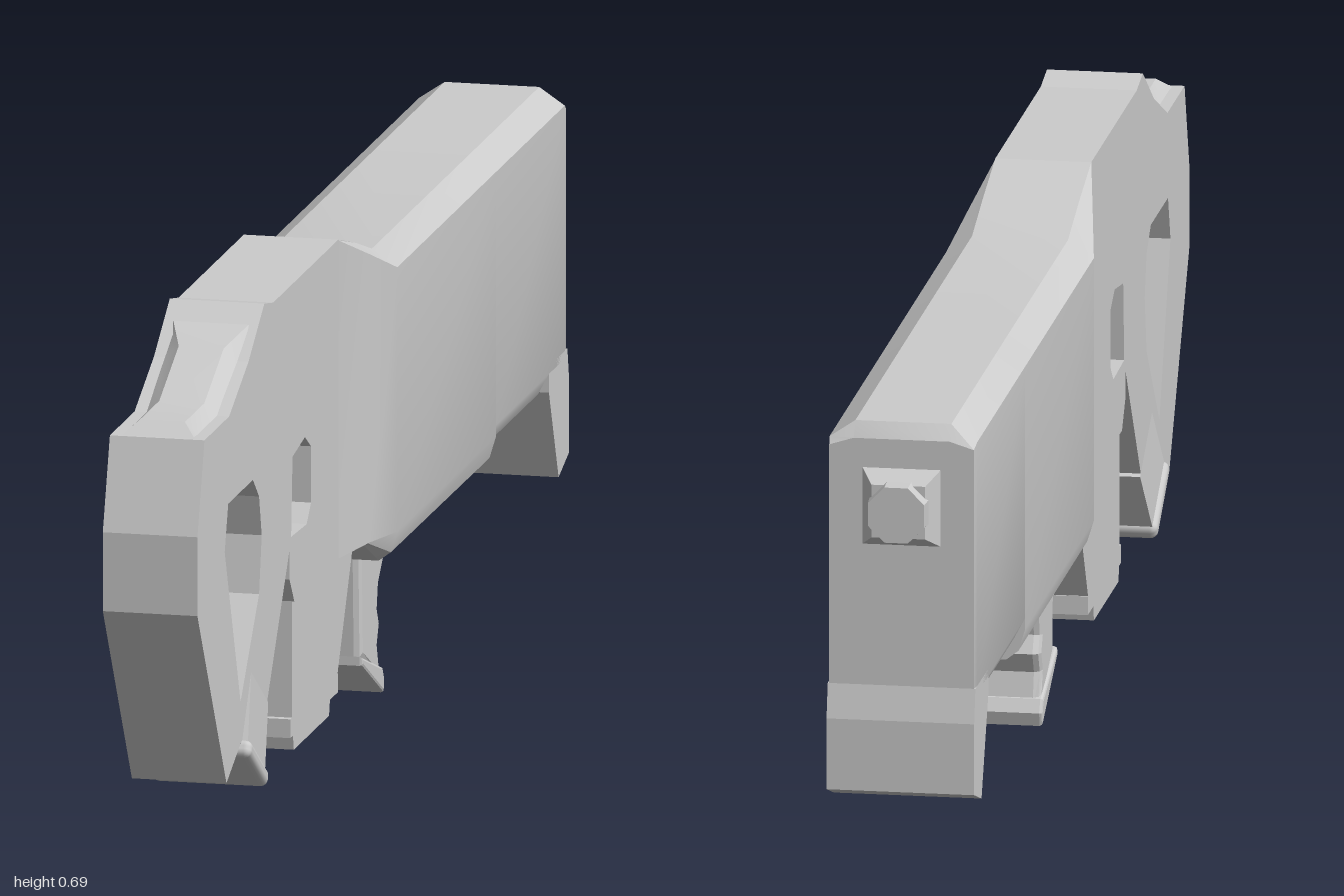
import * as THREE from 'three';
import { toCreasedNormals } from 'three/addons/utils/BufferGeometryUtils.js';
import { RoundedBoxGeometry } from 'three/addons/geometries/RoundedBoxGeometry.js';

const material = new THREE.MeshStandardMaterial({ color: 0xcccccc });

function part(parent, name, geometry) {
  const mesh = new THREE.Mesh(geometry, material);
  mesh.name = name;
  parent.add(mesh);
  return mesh;
}

// Side profile in (z, y), extruded symmetrically across x to the given half width
function slab(profile, half, holes = [], bevel = 0) {
  const toVectors = list => list.map(([z, y]) => new THREE.Vector2(z, y));
  const shape = new THREE.Shape(toVectors(profile));
  for (const hole of holes) shape.holes.push(new THREE.Path(toVectors(hole)));
  const depth = 2 * (half - bevel);
  const geometry = new THREE.ExtrudeGeometry(shape, {
    depth, bevelEnabled: bevel > 0, bevelSize: bevel, bevelThickness: bevel,
    bevelOffset: -bevel, bevelSegments: 2,
  });
  return geometry.translate(0, 0, -depth / 2).rotateY(-Math.PI / 2);
}

// Mirrored half sections [x, y] listed top to bottom, stacked from high z to low z
function loft(sections) {
  const positions = [], index = [];
  const n = sections[0].half.length * 2;
  for (const { z, half } of sections) {
    const mirrored = half.map(([x, y]) => [-x, y]).reverse();
    for (const [x, y] of [...half, ...mirrored]) positions.push(x, y, z);
  }
  for (let i = 0; i < sections.length - 1; i++) {
    for (let j = 0; j < n; j++) {
      const a = i * n + j, b = i * n + (j + 1) % n;
      index.push(a, b, a + n, b, b + n, a + n);
    }
  }
  const last = (sections.length - 1) * n;
  for (let k = 1; k < n - 1; k++) {
    index.push(0, k + 1, k, last, last + k, last + k + 1);
  }
  const geometry = new THREE.BufferGeometry();
  geometry.setAttribute('position', new THREE.Float32BufferAttribute(positions, 3));
  geometry.setIndex(index);
  return toCreasedNormals(geometry, 0.5);
}

export function createModel() {
  const model = new THREE.Group();

  // Stock with thumb hole and trigger opening
  const outline = [
    [1, 0.46], [0.96, 0.58], [0.82, 0.58], [0.71, 0.628], [0.62, 0.685], [0.57, 0.675],
    [0.2, 0.675], [0.2, 0.25], [0.45, 0.25], [0.477, 0.285], [0.477, 0.325],
    [0.66, 0.075], [0.755, 0.13], [0.835, 0.095], [1, 0.355],
  ];
  const thumbHole = [
    [0.825, 0.465], [0.685, 0.465], [0.65, 0.435], [0.635, 0.38],
    [0.65, 0.305], [0.755, 0.185], [0.845, 0.405],
  ];
  const triggerHole = [
    [0.46, 0.445], [0.39, 0.455], [0.355, 0.435], [0.355, 0.36], [0.38, 0.337], [0.468, 0.34],
  ];
  part(model, 'stock', slab(outline, 0.063, [thumbHole, triggerHole]));

  // Raised cheek rest along the top of the stock
  const cheek = [[0.955, 0.578, 0], [0.93, 0.58, 0.016], [0.82, 0.58, 0.016], [0.71, 0.63, 0.014], [0.655, 0.662, 0.002]];
  part(model, 'cheekRest', loft(cheek.map(([z, y, rise]) => ({
    z, half: [[rise > 0.01 ? 0.03 : 0.05, y + rise], [0.055, y - 0.008]],
  }))));

  // Trigger
  part(model, 'trigger', slab(
    [[0.435, 0.45], [0.43, 0.4], [0.443, 0.345], [0.455, 0.345], [0.447, 0.4], [0.455, 0.45]], 0.014));

  // Rear grip: flared lower end and base plate, tilted together
  const grip = new THREE.Group();
  grip.name = 'rearGrip';
  grip.position.set(0, 0.092, 0.703);
  grip.rotation.x = -0.57;
  const flare = new THREE.BoxGeometry(0.126, 0.1, 0.115).translate(0, 0.055, 0);
  const p = flare.attributes.position;
  for (let i = 0; i < p.count; i++) if (p.getY(i) < 0.05) p.setX(i, p.getX(i) * 1.13);
  flare.computeVertexNormals();
  part(grip, 'gripFlare', flare);
  part(grip, 'gripBase', new RoundedBoxGeometry(0.154, 0.024, 0.125, 2, 0.01));
  model.add(grip);

  // Magazine with a stepped foot
  part(model, 'magazine', slab([[0.1, 0.255], [0.195, 0.09], [0.45, 0.09], [0.45, 0.255]], 0.06));
  part(model, 'magazineFoot', slab([
    [0.19, 0.095], [0.19, 0.07], [0.235, 0.07], [0.24, 0.05],
    [0.44, 0.05], [0.445, 0.07], [0.46, 0.07], [0.46, 0.095],
  ], 0.06));

  // Fore housing: widens from the stock, chamfered on top, rounded below
  const section = (z, w, top, shoulder, low, bottom, flat) => ({
    z, half: [
      [0.063, top], [w, shoulder], [w, low],
      [w - (w - flat) * 0.35, low + (bottom - low) * 0.7], [flat, bottom],
    ],
  });
  part(model, 'foreHousing', loft([
    section(0.2, 0.063, 0.675, 0.674, 0.25, 0.25, 0.06),
    section(0.1, 0.081, 0.648, 0.634, 0.25, 0.249, 0.07),
    section(0.01, 0.097, 0.62, 0.597, 0.245, 0.205, 0.072),
    section(-0.55, 0.097, 0.62, 0.597, 0.245, 0.203, 0.072),
    section(-0.55, 0.097, 0.62, 0.597, 0.26, 0.22, 0.055),
    section(-0.94, 0.097, 0.62, 0.597, 0.26, 0.22, 0.055),
    section(-0.955, 0.095, 0.6, 0.59, 0.26, 0.22, 0.055),
  ]));

  // Angled block under the front end
  part(model, 'frontBlock', slab(
    [[-0.85, 0.27], [-0.85, 0.235], [-0.905, 0.11], [-0.965, 0.13], [-0.965, 0.225], [-0.955, 0.27]], 0.097));

  // Muzzle: square flared seat and octagonal barrel end
  const seat = toCreasedNormals(new THREE.CylinderGeometry(0.05, 0.075, 0.03, 4, 1), 0.3);
  part(model, 'muzzleSeat', seat.rotateY(Math.PI / 4).rotateX(-Math.PI / 2).translate(0, 0.51, -0.967));
  const barrel = toCreasedNormals(new THREE.CylinderGeometry(0.04, 0.045, 0.06, 8), 0.3);
  part(model, 'muzzle', barrel.rotateY(Math.PI / 8).rotateX(-Math.PI / 2).translate(0, 0.51, -0.97));

  // Foregrip with finger grooves and a slanted base
  part(model, 'foregrip', slab([
    [0.005, 0.22], [-0.002, 0.07], [-0.112, 0.02], [-0.1, 0.068], [-0.113, 0.095],
    [-0.1, 0.118], [-0.106, 0.145], [-0.143, 0.18], [-0.148, 0.22],
  ], 0.046, [], 0.01));
  part(model, 'foregripBase', slab(
    [[0.008, 0.075], [0.008, 0.063], [-0.115, 0], [-0.12, 0.018], [-0.11, 0.035]], 0.05, [], 0.004));

  return model;
}
